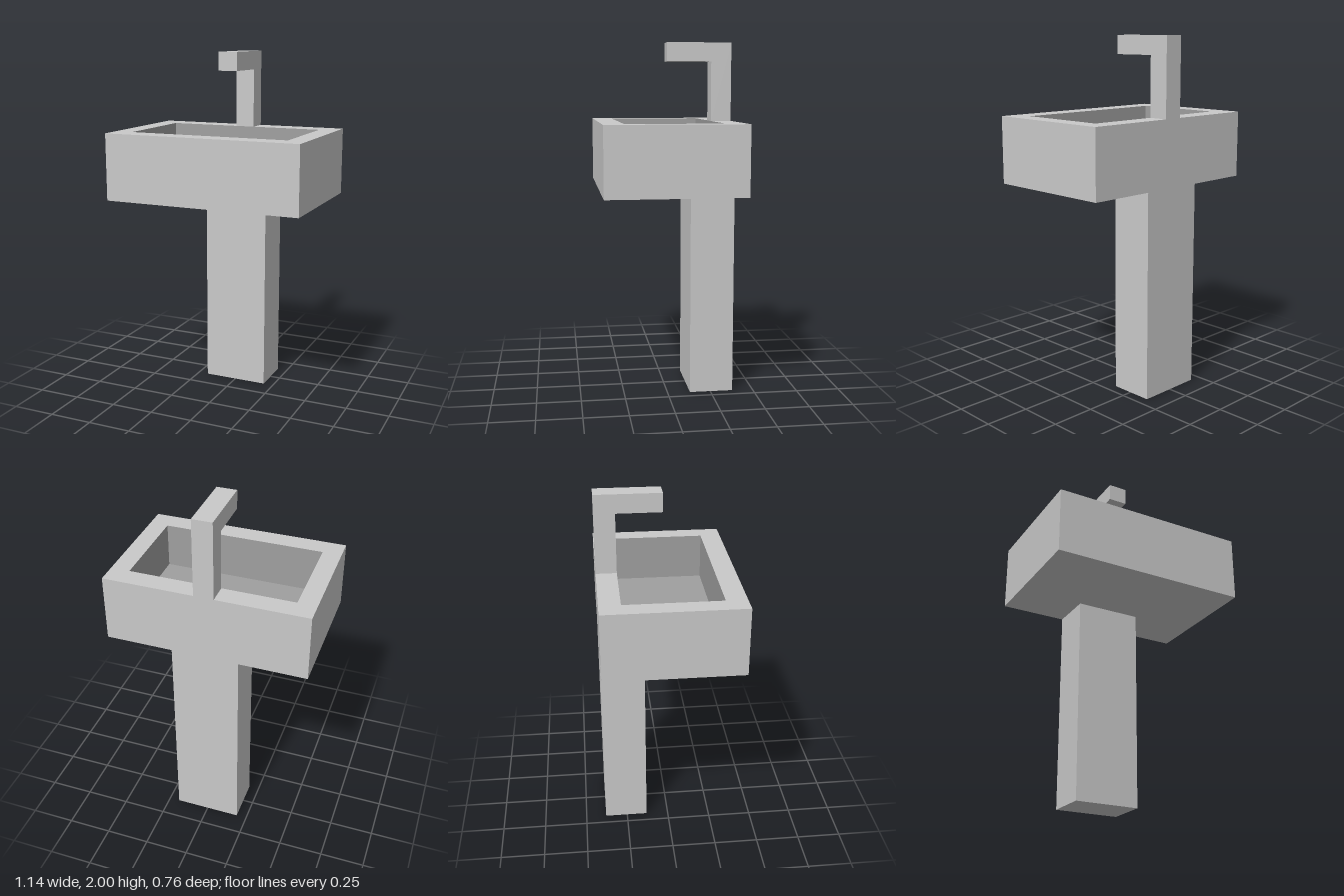
import * as THREE from 'three';

const porcelain = new THREE.MeshStandardMaterial({ name: 'porcelain grey', color: 0xc9c9c9 });
const basinInside = new THREE.MeshStandardMaterial({ name: 'basin inside grey', color: 0x9f9f9f });

const TOP = 1.56, BOTTOM = 1.18, FLOOR = 1.3; // basin heights
const OUTER = [1.14, 0.76], INNER = [0.926, 0.53]; // basin width and depth

function mesh(name, geometry, material) {
  const m = new THREE.Mesh(geometry, material);
  m.name = name;
  return m;
}

// Box without its top face, optionally facing inward
function openBox([w, d], y0, y1, inward = false) {
  const g = new THREE.BoxGeometry(w, y1 - y0, d);
  g.translate(0, (y0 + y1) / 2, 0);
  const index = Array.from(g.index.array);
  index.splice(12, 6);
  g.clearGroups();
  if (inward) {
    index.reverse();
    const n = g.attributes.normal;
    for (let i = 0; i < n.count; i++) n.setXYZ(i, -n.getX(i), -n.getY(i), -n.getZ(i));
  }
  g.setIndex(index);
  return g;
}

function rectPoints([w, d]) {
  return [[-1, -1], [1, -1], [1, 1], [-1, 1]].map(([x, y]) => new THREE.Vector2(x * w / 2, y * d / 2));
}

export function createModel() {
  const group = new THREE.Group();
  group.name = 'pedestalSink';

  // Pedestal, flush with the back of the basin
  const pedestal = new THREE.BoxGeometry(0.38, BOTTOM, 0.25);
  pedestal.translate(0, BOTTOM / 2, -0.255);
  group.add(mesh('pedestal', pedestal, porcelain));

  // Basin: outer shell, flat rim and darker bowl
  const basin = new THREE.Group();
  basin.name = 'basin';
  const rimShape = new THREE.Shape(rectPoints(OUTER));
  rimShape.holes.push(new THREE.Path(rectPoints(INNER)));
  const rim = new THREE.ShapeGeometry(rimShape);
  rim.rotateX(-Math.PI / 2);
  rim.translate(0, TOP, 0);
  basin.add(
    mesh('basinShell', openBox(OUTER, BOTTOM, TOP), porcelain),
    mesh('basinRim', rim, porcelain),
    mesh('basinBowl', openBox(INNER, FLOOR, TOP, true), basinInside),
  );
  group.add(basin);

  // Faucet: L-shaped side profile (z, y) extruded across x
  const profile = [[-0.38, TOP], [-0.265, TOP], [-0.265, 1.895], [-0.013, 1.895], [-0.013, 2], [-0.38, 2]];
  const faucet = new THREE.ExtrudeGeometry(
    new THREE.Shape(profile.map(([z, y]) => new THREE.Vector2(z, y))),
    { depth: 0.112, bevelEnabled: false },
  );
  faucet.rotateY(-Math.PI / 2);
  faucet.translate(0.056, 0, 0);
  group.add(mesh('faucet', faucet, porcelain));

  return group;
}
